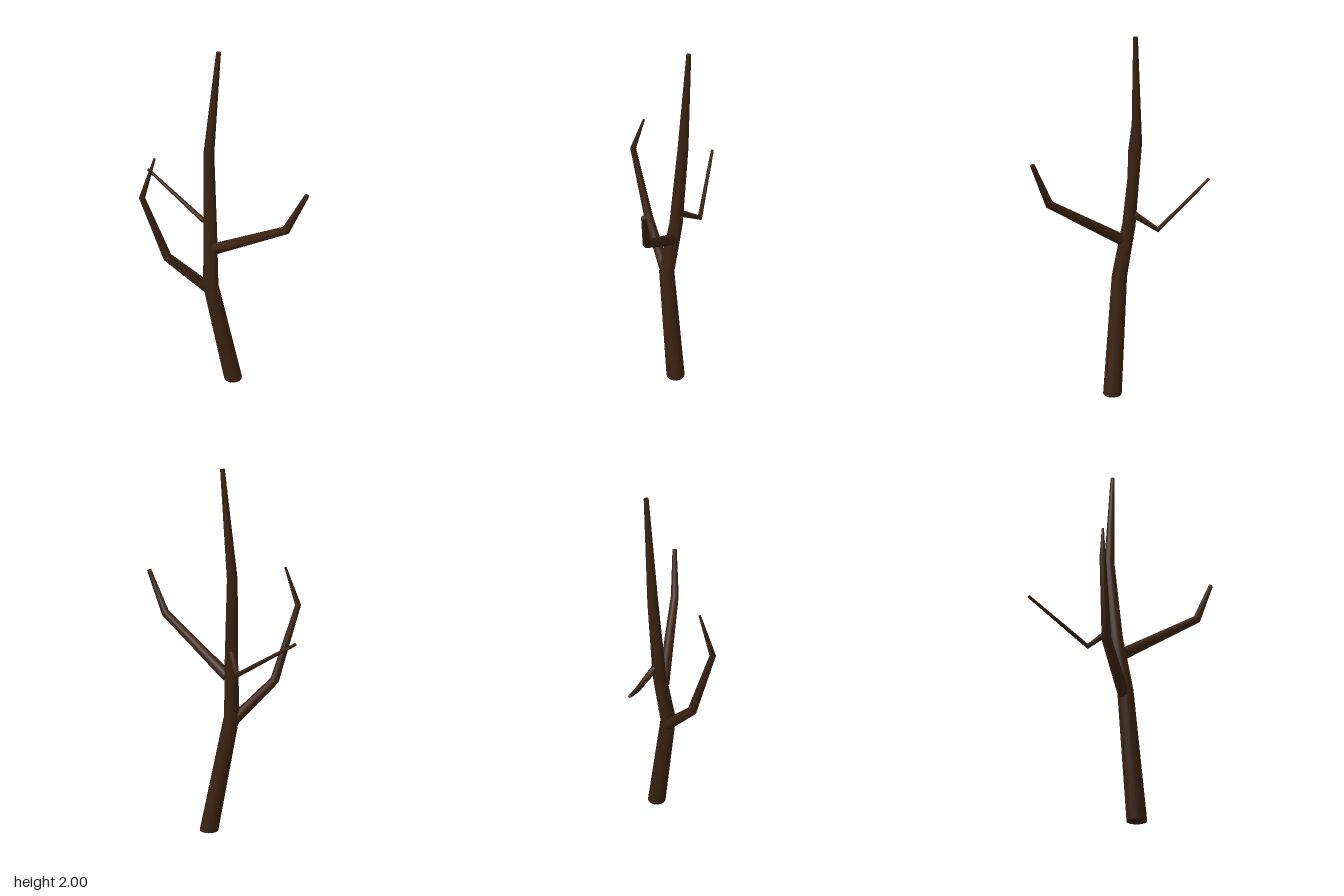
import * as THREE from 'three';

const SIDES = 16;
const bark = new THREE.MeshStandardMaterial({ color: 0x3a2210 });

// Tapered limb through points [x, y, z, radius], mitred at the bends and capped at both ends.
function limb(name, points, startNormal) {
  const centres = points.map(([x, y, z]) => new THREE.Vector3(x, y, z));
  const last = centres.length - 1;
  const direction = i => centres[i + 1].clone().sub(centres[i]).normalize();
  const up = new THREE.Vector3(0, 1, 0);
  const frame = new THREE.Quaternion();
  const previous = up.clone();
  const positions = [];
  const indices = [];

  // One ring per point, its frame carried along so the sides do not twist
  const rings = centres.map((centre, i) => {
    let normal;
    if (i === 0) normal = startNormal ?? direction(0);
    else if (i === last) normal = direction(last - 1);
    else normal = direction(i - 1).add(direction(i)).normalize();
    frame.premultiply(new THREE.Quaternion().setFromUnitVectors(previous, normal));
    previous.copy(normal);
    return Array.from({ length: SIDES }, (_, j) => {
      const a = (j / SIDES) * Math.PI * 2;
      return new THREE.Vector3(Math.sin(a), 0, Math.cos(a))
        .multiplyScalar(points[i][3]).applyQuaternion(frame).add(centre);
    });
  });

  // Sides
  rings.forEach(ring => ring.forEach(p => positions.push(p.x, p.y, p.z)));
  for (let i = 0; i < last; i++) {
    for (let j = 0; j < SIDES; j++) {
      const a = i * SIDES + j;
      const b = i * SIDES + (j + 1) % SIDES;
      indices.push(a, b, b + SIDES, a, b + SIDES, a + SIDES);
    }
  }

  // Flat end caps with their own vertices for a sharp rim
  for (const end of [0, last]) {
    const hub = positions.length / 3;
    [centres[end], ...rings[end]].forEach(p => positions.push(p.x, p.y, p.z));
    for (let j = 0; j < SIDES; j++) {
      const a = hub + 1 + j;
      const b = hub + 1 + (j + 1) % SIDES;
      if (end === 0) indices.push(hub, b, a);
      else indices.push(hub, a, b);
    }
  }

  const geometry = new THREE.BufferGeometry();
  geometry.setAttribute('position', new THREE.Float32BufferAttribute(positions, 3));
  geometry.setIndex(indices);
  geometry.computeVertexNormals();
  const mesh = new THREE.Mesh(geometry, bark);
  mesh.name = name;
  return mesh;
}

export function createModel() {
  const tree = new THREE.Group();
  tree.name = 'bareTree';

  // Trunk, cut level at the ground
  tree.add(limb('trunk', [
    [0.07, 0, 0.05, 0.052],
    [-0.055, 0.66, 0.05, 0.042],
    [-0.053, 0.97, -0.005, 0.036],
    [-0.057, 1.43, -0.046, 0.028],
    [-0.006, 2, -0.054, 0.012],
  ], new THREE.Vector3(0, 1, 0)));

  // Low branch on the right
  tree.add(limb('rightBranch', [
    [-0.06, 0.63, 0.047, 0.031],
    [-0.285, 0.86, 0.06, 0.025],
    [-0.407, 1.265, 0.1, 0.016],
    [-0.336, 1.475, 0.062, 0.006],
  ]));

  // Forward branch on the left
  tree.add(limb('leftBranch', [
    [-0.03, 0.888, 0.035, 0.031],
    [0.315, 1.175, 0.302, 0.022],
    [0.407, 1.41, 0.352, 0.012],
  ]));

  // Thin branch at the back
  tree.add(limb('backBranch', [
    [-0.055, 1.03, -0.03, 0.019],
    [-0.085, 0.945, -0.158, 0.014],
    [-0.377, 1.158, -0.357, 0.008],
  ]));

  return tree;
}
